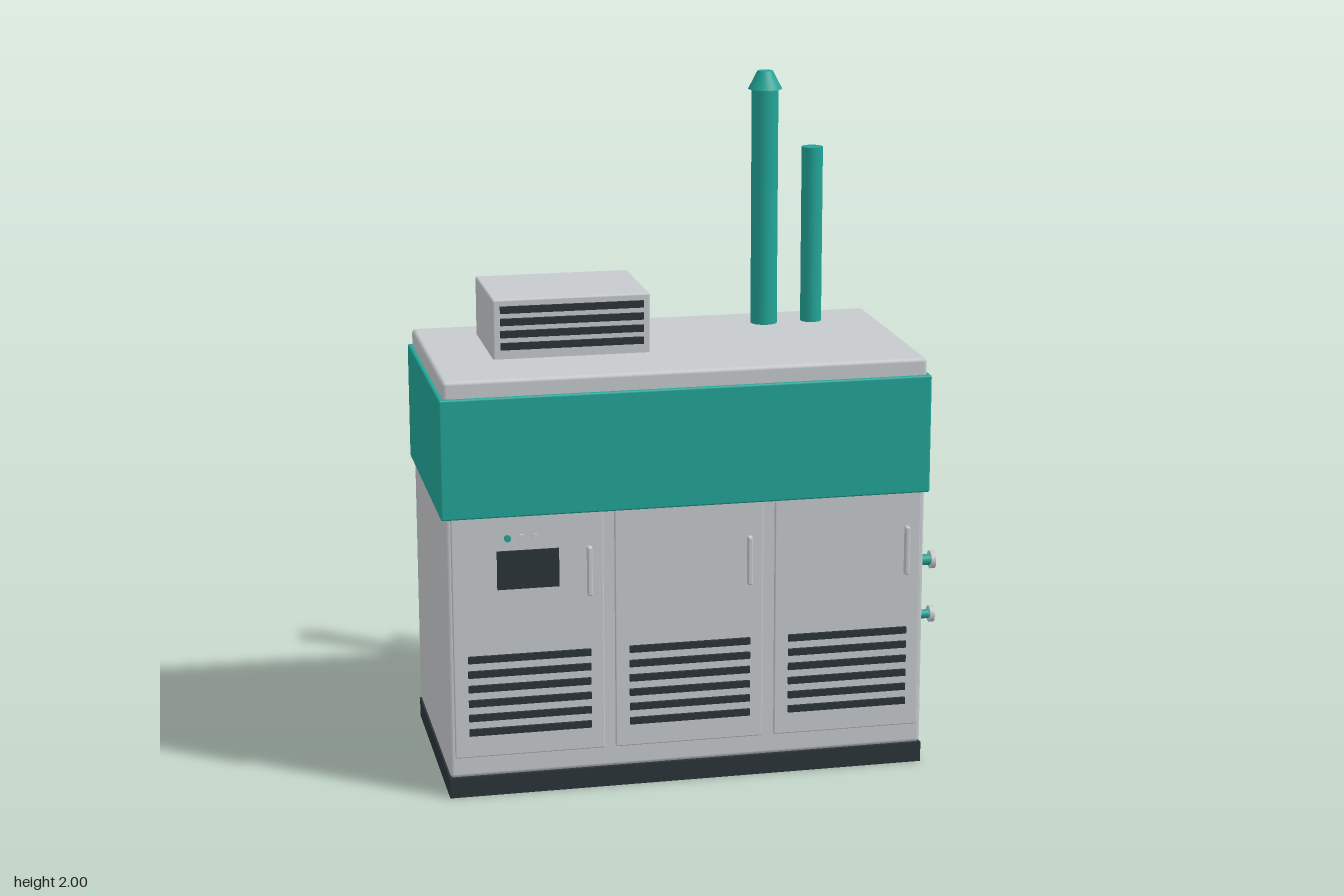
import * as THREE from 'three';
import { RoundedBoxGeometry } from 'three/addons/geometries/RoundedBoxGeometry.js';

export function createModel() {
  const group = new THREE.Group();
  const material = (name, color) => {
    const m = new THREE.MeshStandardMaterial({ color });
    m.name = name;
    return m;
  };
  const grey = material('light grey', 0xc6cacd);
  const teal = material('teal', 0x22a598);
  const dark = material('charcoal', 0x2b3439);

  const add = (name, geometry, mat, x, y, z) => {
    const mesh = new THREE.Mesh(geometry, mat);
    mesh.name = name;
    mesh.position.set(x, y, z);
    group.add(mesh);
    return mesh;
  };
  // Box given by its limits, with optionally softened edges
  const box = (name, mat, x0, x1, y0, y1, z0, z1, r = 0) => {
    const s = [x1 - x0, y1 - y0, z1 - z0];
    const g = r ? new RoundedBoxGeometry(...s, 2, r) : new THREE.BoxGeometry(...s);
    return add(name, g, mat, (x0 + x1) / 2, (y0 + y1) / 2, (z0 + z1) / 2);
  };
  const upright = (name, mat, x, y0, y1, z, rTop, rBottom = rTop) =>
    add(name, new THREE.CylinderGeometry(rTop, rBottom, y1 - y0, 32), mat, x, (y0 + y1) / 2, z);
  const sideways = (name, mat, x0, x1, y, z, r) => {
    const g = new THREE.CylinderGeometry(r, r, x1 - x0, 24).rotateZ(Math.PI / 2);
    return add(name, g, mat, (x0 + x1) / 2, y, z);
  };

  // Cabinet, plinth, coloured band and roof
  box('plinth', dark, -0.787, 0.622, 0, 0.06, -0.358, 0.345);
  box('cabinet', grey, -0.785, 0.62, 0.06, 1.2, -0.357, 0.344, 0.012);
  box('band', teal, -0.797, 0.632, 0.835, 1.185, -0.37, 0.354, 0.006);
  box('roof', grey, -0.785, 0.62, 1.17, 1.235, -0.357, 0.344, 0.012);

  // Three front doors with handles and louvres
  [-0.77, -0.301, 0.17].forEach((x) => {
    box('door', grey, x, x + 0.437, 0.122, 0.84, 0.335, 0.351, 0.004);
    box('handle', grey, x + 0.387, x + 0.402, 0.592, 0.738, 0.349, 0.371, 0.005);
    for (let i = 0; i < 6; i++) {
      const y = 0.2 + i * 0.0438;
      box('louvre', dark, x + 0.041, x + 0.397, y - 0.01, y + 0.01, 0.349, 0.36);
    }
  });

  // Control panel and indicator lights
  box('screen', dark, -0.641, -0.463, 0.624, 0.737, 0.35, 0.358);
  [-0.61, -0.57, -0.53].forEach((x, i) => {
    const light = new THREE.CylinderGeometry(0.01, 0.01, 0.008, 16).rotateX(Math.PI / 2);
    add('indicatorLight', light, i ? grey : teal, x, 0.774, 0.354);
  });

  // Rooftop vent
  box('roofVent', grey, -0.605, -0.145, 1.225, 1.41, -0.245, 0.103, 0.006);
  for (let i = 0; i < 4; i++) {
    const y = 1.273 + i * 0.0357;
    box('ventSlat', dark, -0.584, -0.166, y - 0.01, y + 0.01, 0.1, 0.113);
  }

  // Chimney with conical cap, and exhaust stack
  upright('chimney', teal, 0.27, 1.22, 1.95, -0.217, 0.04);
  upright('chimneyCap', teal, 0.27, 1.946, 2, -0.217, 0.023, 0.051);
  upright('exhaustStack', teal, 0.417, 1.22, 1.768, -0.217, 0.032);

  // Flanged side pipes
  [[0.475, 0.017, 0.028], [0.298, 0.014, 0.026]].forEach(([y, r, flange]) => {
    sideways('sidePipe', teal, 0.61, 0.785, y, -0.127, r);
    sideways('pipeFlange', grey, 0.783, 0.797, y, -0.127, flange);
  });

  return group;
}
